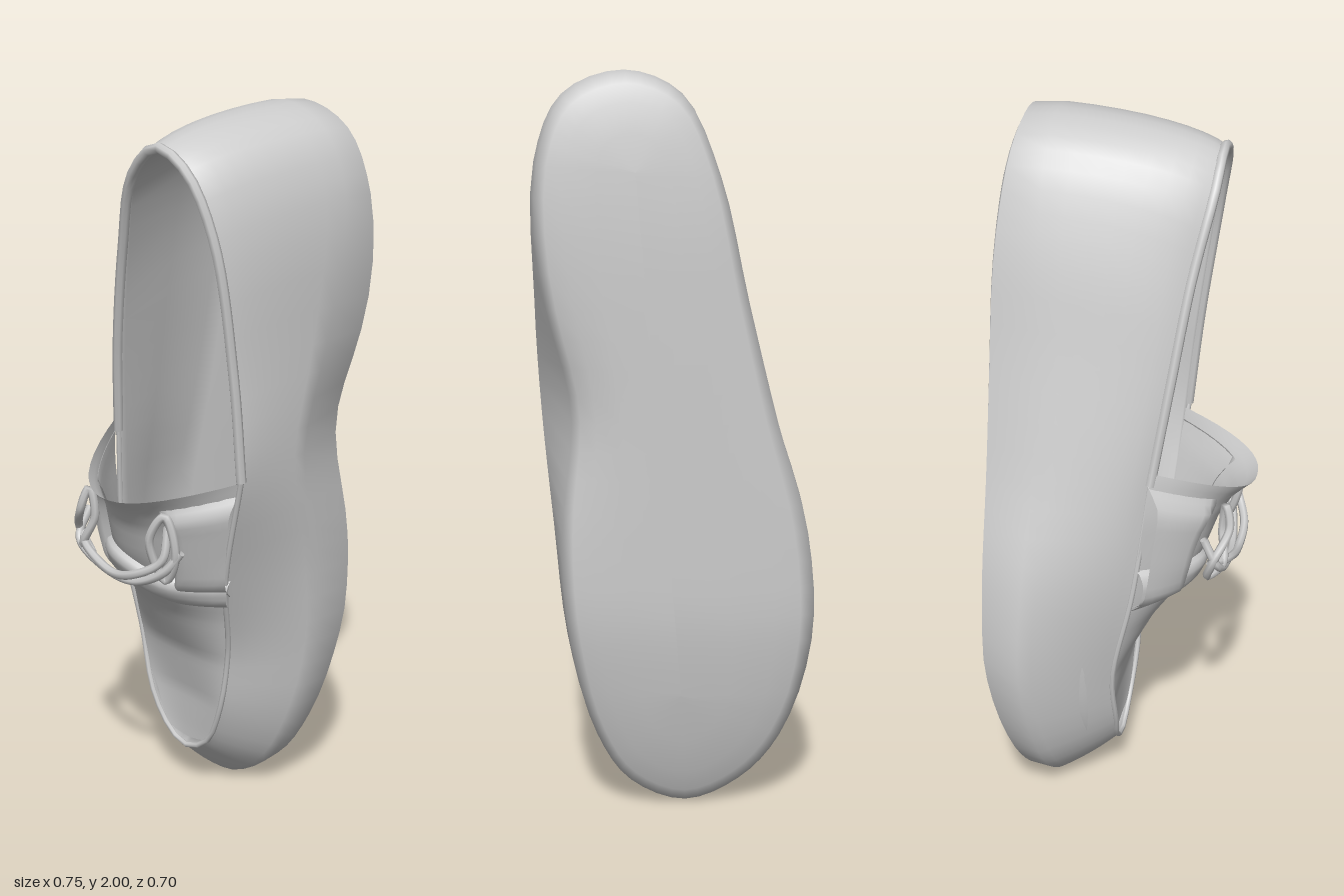
import * as THREE from 'three';

const V = (x, y, z) => new THREE.Vector3(x, y, z);
const material = new THREE.MeshStandardMaterial({ color: 0xcccccc, side: THREE.DoubleSide });
const { lerp, clamp, smoothstep } = THREE.MathUtils;

// Widest outline of the shoe, counter-clockwise from the toe
const OUTLINE = [
  [-0.03, 0.003, -0.16], [0.125, 0.075, -0.18], [0.22, 0.23, -0.2], [0.29, 0.5, -0.22], [0.322, 0.8, -0.18],
  [0.35, 1.1, -0.1], [0.365, 1.4, -0.16], [0.363, 1.77, -0.22], [0.29, 1.94, -0.21], [0.13, 2, -0.21],
  [-0.02, 1.94, -0.21], [-0.115, 1.74, -0.21], [-0.19, 1.42, -0.2], [-0.27, 1.1, -0.2], [-0.355, 0.8, -0.22],
  [-0.37, 0.5, -0.23], [-0.29, 0.21, -0.2], [-0.18, 0.07, -0.18],
].map(p => V(...p));

// Upper edge: apron seam at the toe, collar at the heel
const RIM = [
  [-0.03, 0.13, -0.01], [0.06, 0.17, -0.01], [0.13, 0.3, 0], [0.175, 0.5, 0.01], [0.24, 0.75, 0.08],
  [0.33, 1.06, 0.11], [0.33, 1.35, 0.14], [0.31, 1.7, 0.19], [0.24, 1.87, 0.22], [0.13, 1.92, 0.225],
  [0.03, 1.84, 0.22], [-0.06, 1.63, 0.18], [-0.135, 1.35, 0.14], [-0.185, 1.08, 0.1], [-0.22, 0.75, 0.06],
  [-0.21, 0.45, 0], [-0.16, 0.26, 0], [-0.1, 0.16, -0.01],
].map(p => V(...p));

// Smoothed loops, matched point for point
const [outer, rim] = [OUTLINE, RIM].map(p => new THREE.CatmullRomCurve3(p, true).getPoints(72));

// Grid surface through rows of points
function sheet(rows) {
  const w = rows[0].length, index = [];
  for (let r = 0; r < rows.length - 1; r++)
    for (let c = 0; c < w - 1; c++) {
      const a = r * w + c, b = a + 1, d = a + w, e = d + 1;
      index.push(a, b, e, a, e, d);
    }
  const g = new THREE.BufferGeometry().setFromPoints(rows.flat());
  g.setIndex(index);
  g.computeVertexNormals();
  return g;
}

// Closed sheet whose seam normals are averaged
function ringSheet(rows) {
  const w = rows[0].length, g = sheet(rows), n = g.attributes.normal;
  rows.forEach((_, r) => {
    const a = r * w, b = a + w - 1;
    const m = V(0, 0, 0).fromBufferAttribute(n, a).add(V(0, 0, 0).fromBufferAttribute(n, b)).normalize();
    n.setXYZ(a, m.x, m.y, m.z);
    n.setXYZ(b, m.x, m.y, m.z);
  });
  return g;
}

// Pull a point towards the shoe's long axis
function inset(p, s, z) {
  const y = clamp(p.y, 0.35, 1.75);
  const q = V(-0.04 + 0.085 * y, y, 0).lerp(p, s);
  return q.setZ(z(q.y));
}

const soleZ = y => -0.352 + 0.11 * Math.max(0, 1 - y / 0.6) ** 1.5 + 0.04 * Math.max(0, (y - 1.5) / 0.5) ** 2;

// Hollow of the inner arch, on the left side only
const arch = p => p.x > 0.1 ? Math.exp(-(((p.y - 1.13) / 0.25) ** 2)) : 0;

// Apron and tongue sections: y, left x, right x, edge z, middle z
const SECTIONS = [
  [0.13, -0.05, 0, -0.02, -0.02], [0.18, -0.12, 0.075, -0.01, -0.02], [0.3, -0.175, 0.13, -0.005, -0.015],
  [0.45, -0.21, 0.165, 0, 0.02], [0.6, -0.217, 0.2, 0.025, 0.1], [0.7, -0.22, 0.23, 0.05, 0.175],
  [0.8, -0.22, 0.255, 0.07, 0.225], [0.9, -0.215, 0.285, 0.09, 0.26], [0.96, -0.2, 0.305, 0.1, 0.3],
  [1.0, -0.19, 0.315, 0.1, 0.352],
];

// Point on the apron at height y, across s from -1 to 1, raised by lift
function vamp(y, s, lift = 0) {
  let i = 0;
  while (i < SECTIONS.length - 2 && y > SECTIONS[i + 1][0]) i++;
  const A = SECTIONS[i], B = SECTIONS[i + 1], t = (y - A[0]) / (B[0] - A[0]);
  const [, xl, xr, ze, zc] = A.map((a, k) => a + (B[k] - a) * t);
  const rise = (s < 0 ? 0.12 : 0.05) * s * s * smoothstep(y, 0.7, 1);
  return V((xl + xr) / 2 + s * ((xr - xl) / 2 + lift * 0.4), y + rise, ze + (zc - ze) * (1 - Math.abs(s) ** 2.4) + lift);
}

const range = (n, f) => Array.from({ length: n + 1 }, (_, i) => f(i / n));

export function createModel() {
  const shoe = new THREE.Group();
  shoe.name = 'shoe';
  const add = (name, geometry) => {
    const m = new THREE.Mesh(geometry, material);
    m.name = name;
    shoe.add(m);
  };
  const cord = (name, pts, radius, closed = false) => add(name, new THREE.TubeGeometry(
    new THREE.CatmullRomCurve3(pts, closed), closed ? 48 : 40, radius, 7, closed));

  // Sole and side wall in one skin, drawn in at the inner arch
  const sole = [0, 0.4, 0.7, 0.88, 0.975].map(s => outer.map(p =>
    inset(p, s * (1 - 0.24 * arch(p)), y => soleZ(y) + (0.025 + 0.04 * arch(p)) * s ** 4)));
  // The wall slopes straight at the toe and swells towards the heel
  const wall = range(8, t => outer.map((p, i) => {
    const a = t * Math.PI / 2, full = lerp(0.15, 0.75, smoothstep(p.y, 0.6, 1.2));
    const q = rim[i].clone().lerp(p, lerp(1 - t, Math.cos(a), full));
    return q.setZ(lerp(p.z, rim[i].z, lerp(t, Math.sin(a), full * 0.8)));
  }));
  add('soleAndUpper', ringSheet([...sole, ...wall]));

  // Lining, falling from the collar to the insole
  const lip = rim.map(p => inset(p, 0.9, () => p.z - 0.01));
  const lower = outer.map((p, i) => inset(p, 0.84, () => -0.1).lerp(lip[i], 0.3));
  const insole = [0.8, 0.7, 0].map(s => outer.map(p =>
    inset(p, s * (1 - 0.24 * arch(p)), y => soleZ(y) + (s > 0.75 ? 0.16 : 0.13))));
  add('lining', ringSheet([rim, lip, lower, ...insole]));

  // Rolled collar at the heel and a finer seam round the apron
  cord('collarBinding', RIM.slice(5, 14), 0.014);
  cord('apronSeam', [...RIM.slice(13), ...RIM.slice(0, 6)], 0.008);

  // Apron running up into the flared tongue
  add('apronAndTongue', sheet(range(40, t => range(20, u => vamp(0.13 + 0.87 * t, u * 2 - 1)))));

  // Raised lace flaps on both sides of the tongue
  for (const [name, side] of [['rightFlap', -1], ['leftFlap', 1]]) {
    add(name, sheet(range(14, t => range(10, u => {
      const edge = Math.min(1, 6 * t, 6 * (1 - t), 6 * u);
      const s = 0.45 + 0.6 * u + 0.1 * Math.sin(t * Math.PI);
      return vamp(0.68 + 0.29 * t, side * Math.min(1, s), 0.045 * edge - 0.006);
    }))));
  }

  // Low band joining the flaps, dropping towards the left
  add('flapBand', sheet(range(10, t => range(20, u =>
    vamp(0.7 - 0.05 * smoothstep(u, 0.3, 0.8) + 0.1 * t, u * 2 - 1,
      0.036 * Math.sqrt(Math.min(1, 4 * t, 3 * (1 - t))) - 0.006)))));

  // Crossed laces with an end loop on each side
  cord('lowerLace', [V(-0.14, 0.9, 0.24), V(-0.14, 0.82, 0.28), V(-0.03, 0.77, 0.29), V(0.1, 0.76, 0.285),
    V(0.2, 0.81, 0.265), V(0.24, 0.87, 0.24)], 0.012);
  cord('upperLace', [V(-0.15, 0.83, 0.26), V(-0.08, 0.81, 0.3), V(0.04, 0.775, 0.31), V(0.14, 0.8, 0.31),
    V(0.21, 0.85, 0.28), V(0.21, 0.94, 0.26)], 0.012);
  cord('rightLoop', [V(-0.12, 0.77, 0.25), V(-0.15, 0.84, 0.27), V(-0.1, 0.92, 0.305), V(-0.08, 0.98, 0.29),
    V(-0.07, 0.9, 0.28), V(-0.11, 0.81, 0.29)], 0.012, true);
  cord('leftLoop', [V(0.19, 0.78, 0.25), V(0.23, 0.86, 0.25), V(0.21, 0.97, 0.27), V(0.17, 0.9, 0.29)], 0.012, true);

  return shoe;
}
